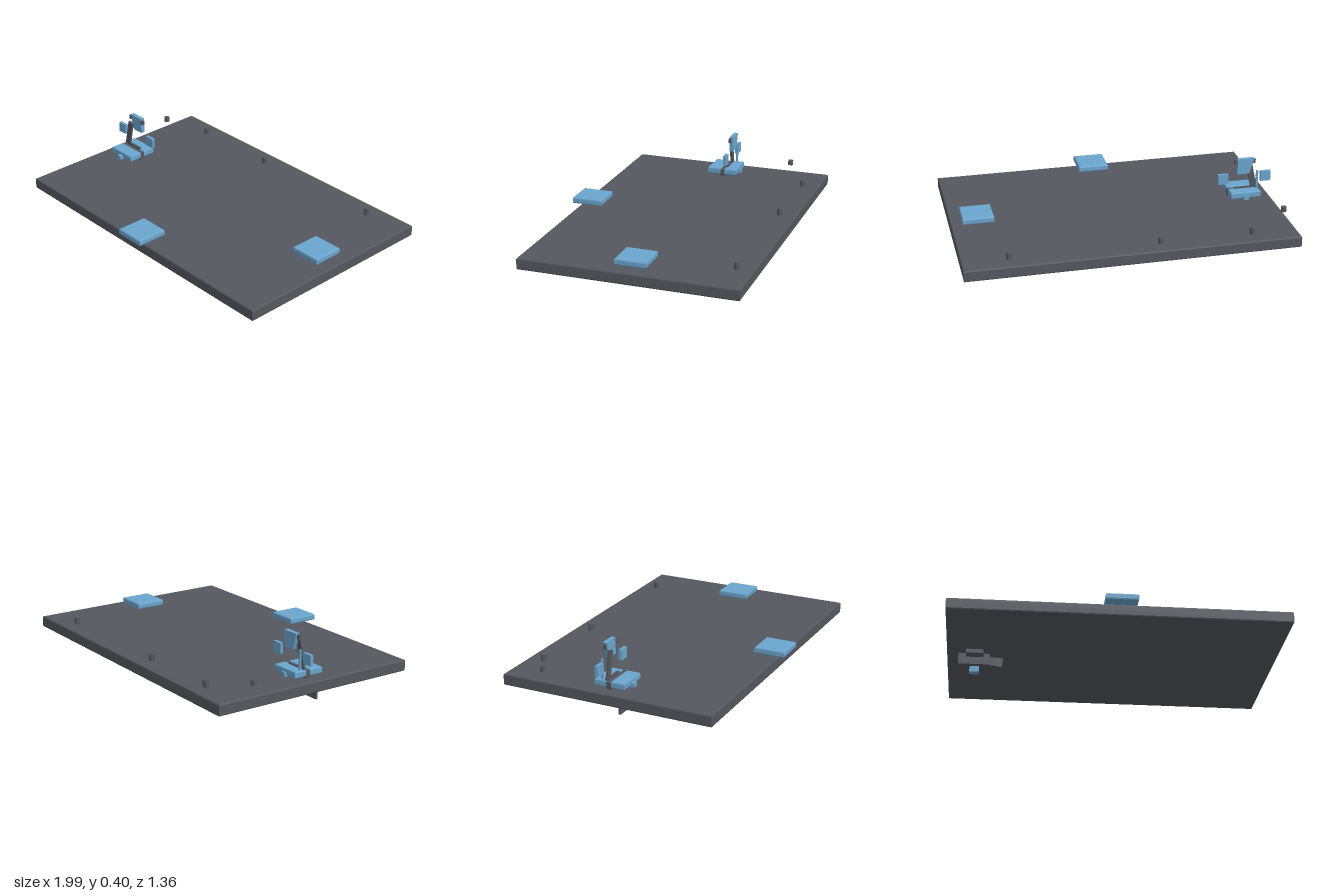
import * as THREE from 'three';

const dark = new THREE.MeshStandardMaterial({ color: 0x54575e });
dark.name = 'charcoal';
const blue = new THREE.MeshStandardMaterial({ color: 0x6aa5cd });
blue.name = 'soft blue';
dark.flatShading = blue.flatShading = true;

export function createModel() {
  const model = new THREE.Group();
  model.name = 'panelWithFittings';

  const add = (name, geo, mat, x, y, z, tilt = 0) => {
    const mesh = new THREE.Mesh(geo, mat);
    mesh.name = name;
    mesh.position.set(x, y, z);
    mesh.rotation.z = tilt;
    model.add(mesh);
    return mesh;
  };

  // Plain block given by its limits on each axis
  const block = (name, mat, [x0, x1], [y0, y1], [z0, z1], tilt = 0) =>
    add(name, new THREE.BoxGeometry(x1 - x0, y1 - y0, z1 - z0), mat,
      (x0 + x1) / 2, (y0 + y1) / 2, (z0 + z1) / 2, tilt);

  // Flat plate with chamfered rims, extruded upwards
  const plate = (name, mat, [x0, x1], [y0, y1], [z0, z1], bevel) => {
    const w = (x1 - x0) / 2 - bevel, d = (z1 - z0) / 2 - bevel;
    const shape = new THREE.Shape([[-w, -d], [w, -d], [w, d], [-w, d]].map(p => new THREE.Vector2(...p)));
    const geo = new THREE.ExtrudeGeometry(shape, {
      depth: y1 - y0 - 2 * bevel, bevelSize: bevel, bevelThickness: bevel, bevelSegments: 2,
    });
    geo.translate(0, 0, -(y1 - y0) / 2 + bevel).rotateX(-Math.PI / 2);
    return add(name, geo, mat, (x0 + x1) / 2, (y0 + y1) / 2, (z0 + z1) / 2);
  };

  // Main board
  plate('board', dark, [-0.993, 0.993], [0.07, 0.14], [-0.682, 0.637], 0.008);

  // Chamfered pads at the left and front edges
  plate('leftPad', blue, [0.735, 0.925], [0.15, 0.19], [-0.12, 0.07], 0.009);
  plate('frontPad', blue, [-0.095, 0.095], [0.15, 0.19], [0.492, 0.682], 0.009);

  // Split pad with a dark seam and tabs, under the lever
  plate('splitPadFront', blue, [-0.925, -0.735], [0.15, 0.19], [-0.016, 0.07], 0.007);
  plate('splitPadBack', blue, [-0.925, -0.735], [0.15, 0.19], [-0.12, -0.042], 0.007);
  block('padSeam', dark, [-0.925, -0.735], [0.14, 0.183], [-0.045, -0.013]);
  block('padTabs', blue, [-0.845, -0.815], [0.143, 0.168], [-0.132, 0.09]);

  // Pegs along the back, and one raised at the right side
  const peg = new THREE.CylinderGeometry(0.017, 0.017, 0.042, 12);
  for (const x of [-0.72, -0.165, 0.72]) add('peg', peg, dark, x, 0.16, -0.58);
  add('raisedPeg', new THREE.CylinderGeometry(0.017, 0.017, 0.03, 12), dark, -0.962, 0.207, -0.433);

  // Lever with its base and head panel
  block('leverBase', dark, [-0.92, -0.78], [0.185, 0.197], [-0.055, -0.04]);
  block('lever', dark, [-0.901, -0.864], [0.183, 0.353], [-0.054, -0.04], -0.21);
  const head = new THREE.Shape([[-0.885, 0.398], [-0.855, 0.3], [-0.78, 0.3], [-0.78, 0.398]]
    .map(p => new THREE.Vector2(...p)));
  add('headPanel', new THREE.ExtrudeGeometry(head, { depth: 0.026, bevelEnabled: false }), blue, 0, 0, -0.087);
  for (const x of [-0.889, -0.772])
    block('headNub', dark, [x - 0.009, x + 0.009], [0.362, 0.388], [-0.075, -0.06]);
  block('blade', blue, [-0.916, -0.904], [0.185, 0.31], [-0.082, -0.07]);

  // Small side panels either side of the lever
  for (const x of [-0.967, -0.695])
    block('sidePanel', blue, [x - 0.032, x + 0.032], [0.236, 0.3], [-0.074, -0.054]);

  // Brackets beneath the board
  block('wideBracket', dark, [-0.925, -0.735], [0.0, 0.075], [0.03, 0.044]);
  block('tiltedBracket', dark, [-0.795, -0.66], [0.018, 0.075], [-0.032, -0.006], -0.16);
  block('flatBracket', dark, [-0.88, -0.775], [0.046, 0.075], [0.02, 0.106]);
  block('lowerBlock', blue, [-0.86, -0.8], [0.03, 0.066], [-0.18, -0.136]);

  return model;
}
